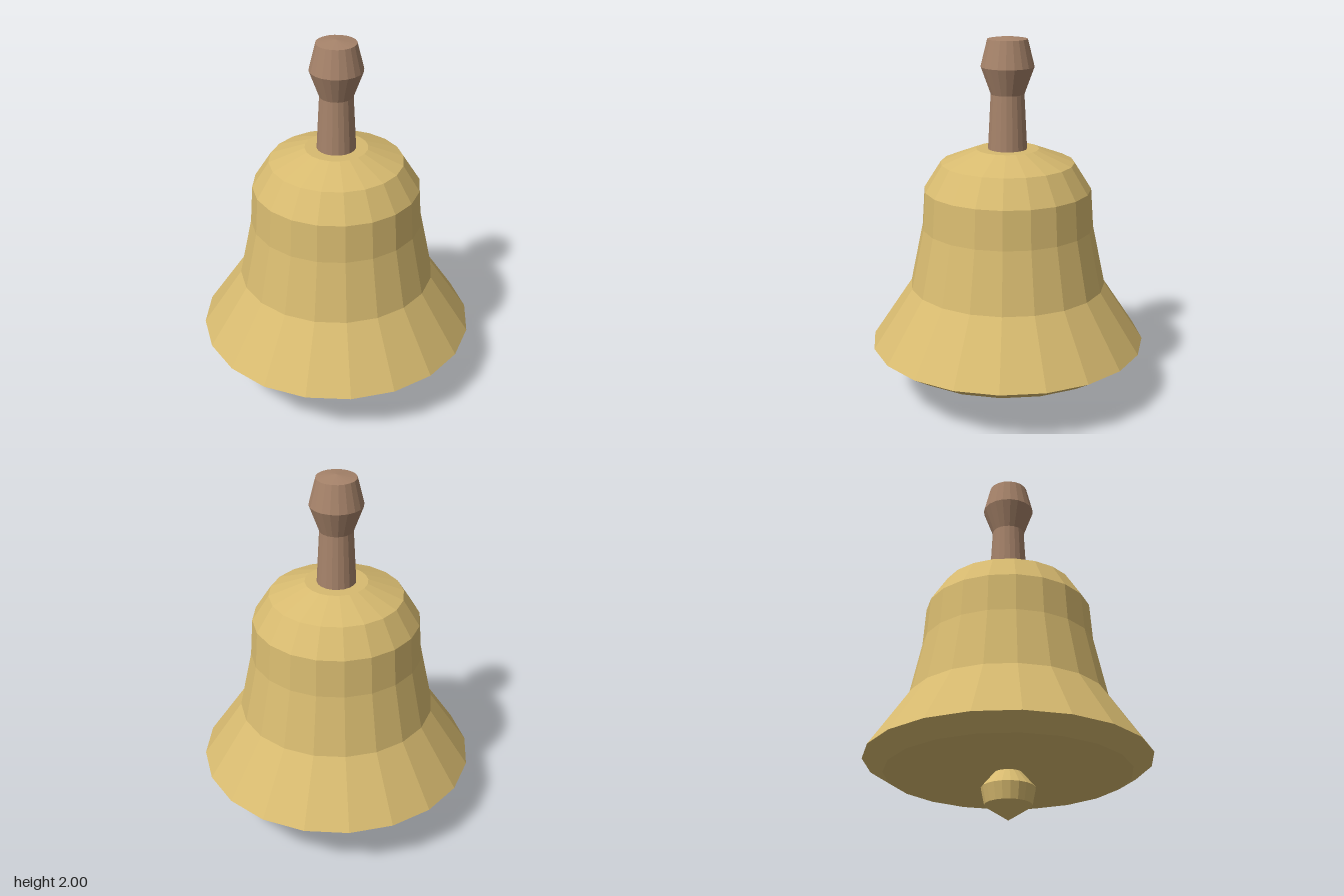
import * as THREE from 'three';

const SIDES = 20;

// Faceted turned part from [radius, height] pairs, listed bottom to top
function turned(name, profile, material) {
  const points = profile.map(([r, y]) => new THREE.Vector2(r, y));
  const mesh = new THREE.Mesh(new THREE.LatheGeometry(points, SIDES), material);
  mesh.name = name;
  return mesh;
}

function createMaterial(name, color) {
  const material = new THREE.MeshStandardMaterial({ color, flatShading: true });
  material.name = name;
  return material;
}

export function createModel() {
  const brass = createMaterial('brass', 0xd8bb70);
  const wood = createMaterial('wood', 0xa6836a);

  const bell = new THREE.Group();
  bell.name = 'handBell';

  // Flared body with a shallow hollow underneath
  bell.add(turned('bellBody', [
    [0, 0.39], [0.65, 0.24], [0.76, 0.31], [0.54, 0.64], [0.47, 0.97],
    [0.455, 1.18], [0.363, 1.325], [0.17, 1.4], [0, 1.4],
  ], brass));

  // Clapper below the rim
  bell.add(turned('clapper', [
    [0, 0], [0.125, 0.08], [0.143, 0.17], [0.075, 0.25], [0, 0.26],
  ], brass));

  // Wooden grip with a knob at the top
  bell.add(turned('handle', [
    [0, 1.39], [0.106, 1.39], [0.09, 1.695], [0.143, 1.84], [0.107, 1.985], [0, 2],
  ], wood));

  return bell;
}
